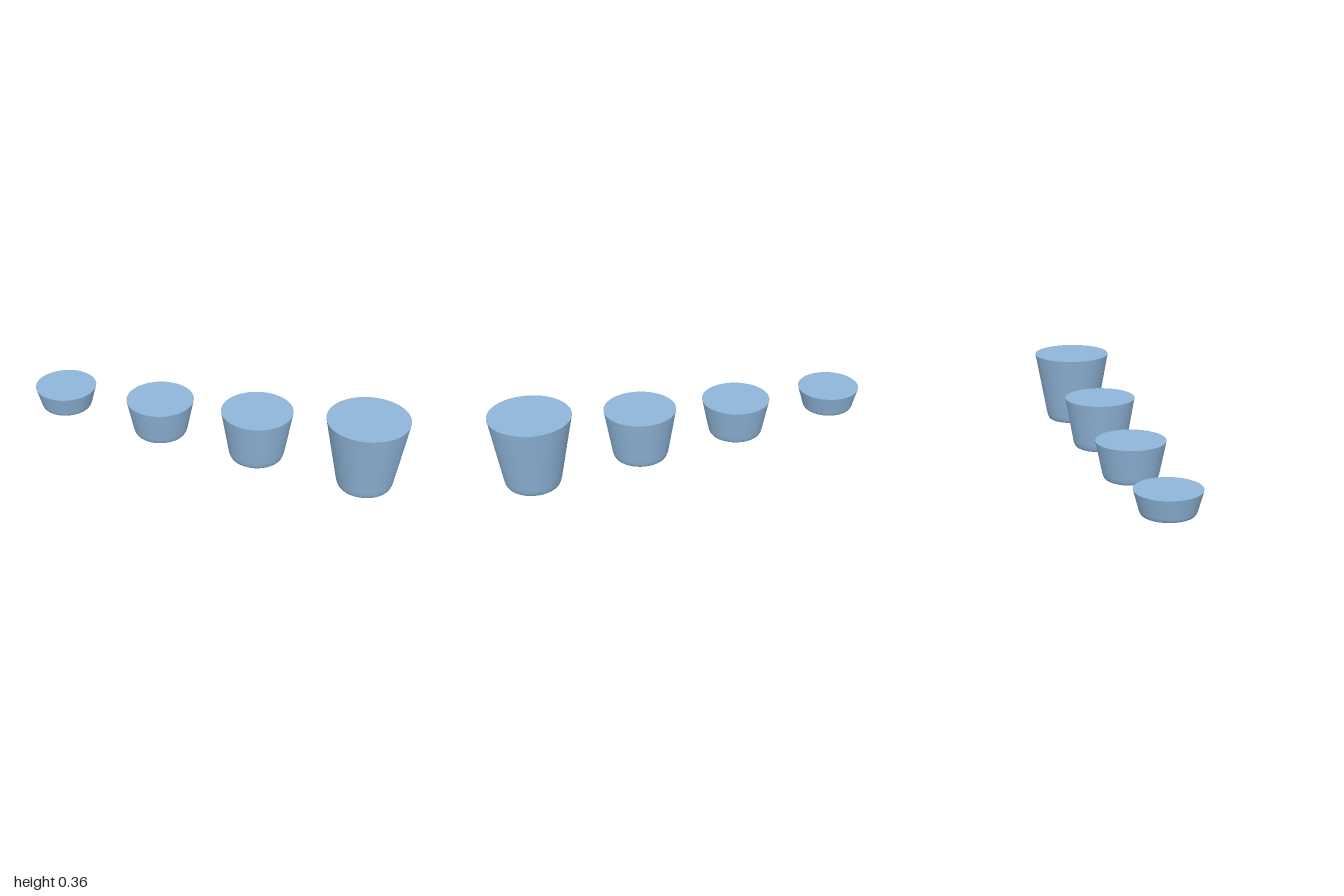
import * as THREE from 'three';

const material = new THREE.MeshStandardMaterial({ color: 0x8fb5d9 });
const SEGMENTS = 96;

// One solid tapered cup: flat lid, straight wall, softly rounded foot, flat base
function makeCup(name, x, bottom, top, baseRadius, topRadius) {
  const cup = new THREE.Group();
  cup.name = name;
  const add = (part, geometry) => {
    const mesh = new THREE.Mesh(geometry, material);
    mesh.name = part;
    cup.add(mesh);
  };

  // Wall profile, from the base edge up to the rim
  const foot = new THREE.QuadraticBezierCurve(
    new THREE.Vector2(baseRadius - 0.004, bottom),
    new THREE.Vector2(baseRadius + 0.005, bottom),
    new THREE.Vector2(baseRadius + 0.012, bottom + 0.033)
  );
  const profile = [...foot.getPoints(10), new THREE.Vector2(topRadius, top)];
  add('wall', new THREE.LatheGeometry(profile, SEGMENTS));

  // Flat discs closing both ends
  add('topFace', new THREE.CircleGeometry(topRadius, SEGMENTS).rotateX(-Math.PI / 2).translate(0, top, 0));
  add('baseFace', new THREE.CircleGeometry(baseRadius - 0.004, SEGMENTS).rotateX(Math.PI / 2).translate(0, bottom, 0));

  cup.position.x = x;
  return cup;
}

export function createModel() {
  const model = new THREE.Group();
  model.name = 'cupSet';
  // name, x, bottom, top, base radius, top radius
  const cups = [
    ['shallowCup', -0.843, 0.027, 0.14, 0.123, 0.157],
    ['lowCup', -0.293, 0.01, 0.196, 0.127, 0.17],
    ['mediumCup', 0.237, 0.009, 0.264, 0.127, 0.177],
    ['tallCup', 0.801, 0, 0.364, 0.127, 0.199],
  ];
  for (const cup of cups) model.add(makeCup(...cup));
  return model;
}
